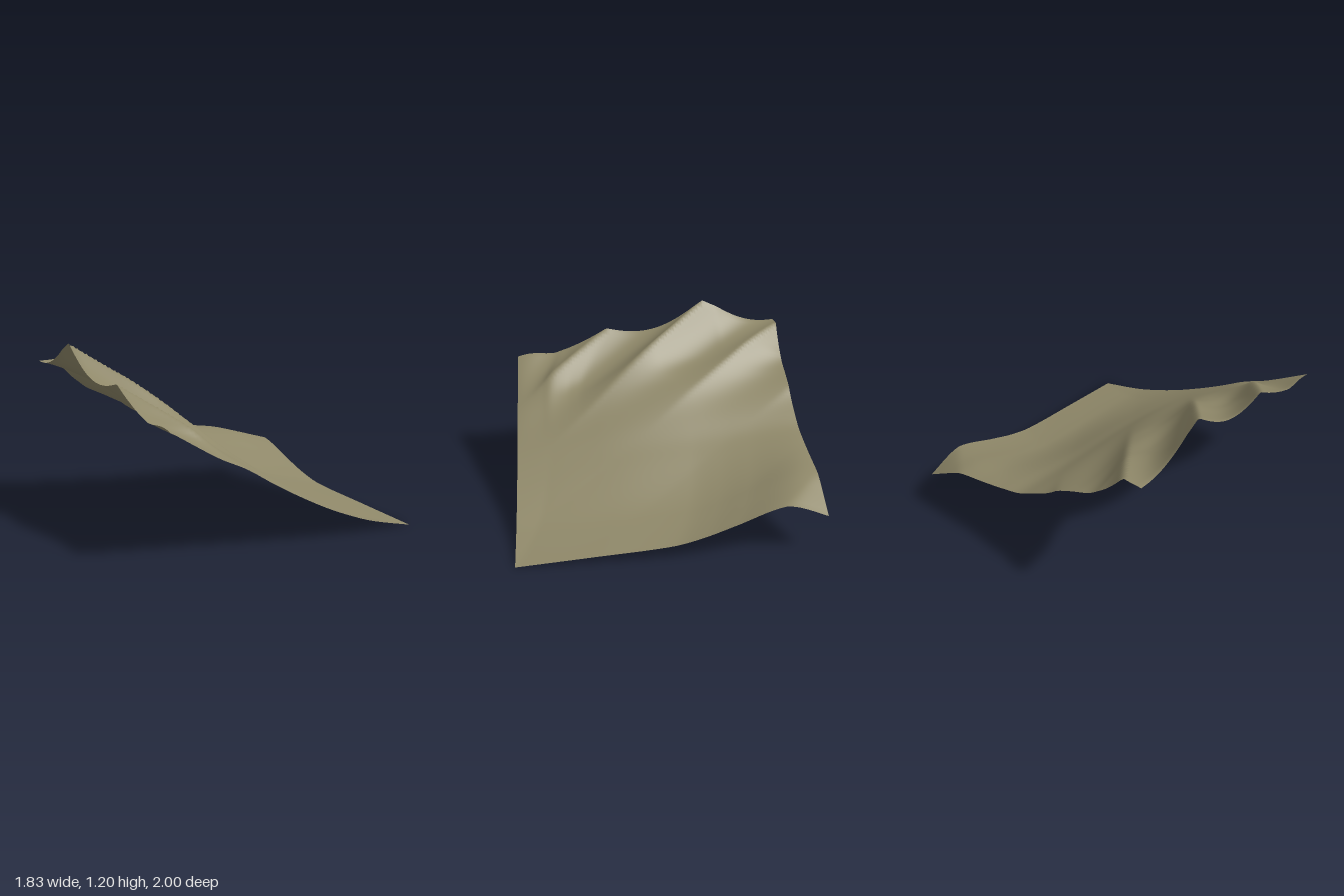
import * as THREE from 'three';

const { clamp, lerp, smoothstep } = THREE.MathUtils;

// smooth curve through [position, value] pairs
function profile(points) {
  const slope = (i) => {
    const a = points[Math.max(i - 1, 0)], b = points[Math.min(i + 1, points.length - 1)];
    return (b[1] - a[1]) / (b[0] - a[0]);
  };
  return (p) => {
    let i = 0;
    while (i < points.length - 2 && p > points[i + 1][0]) i++;
    const [x0, y0] = points[i], [x1, y1] = points[i + 1];
    const d = x1 - x0, t = clamp((p - x0) / d, 0, 1), u = 1 - t;
    return y0 * u * u * (1 + 2 * t) + y1 * t * t * (3 - 2 * t)
      + d * t * u * (slope(i) * u - slope(i + 1) * t);
  };
}

// minimum of a and b, rounded over a width k
function softMin(a, b, k) {
  const h = Math.max(k - Math.abs(a - b), 0);
  return Math.min(a, b) - h * h / (4 * k);
}

// falling lines from the high side to the low side: foot of the slope, and its crests
const lowLine = profile([[-0.91, 0.795], [-0.6, 0.62], [-0.4, 0.53], [-0.2, 0.415], [0, 0.31],
  [0.2, 0.215], [0.4, 0.135], [0.6, 0.07], [0.91, 0]]);
const crestLine = profile([[-0.91, 1.205], [-0.75, 1.07], [-0.61, 0.96], [-0.48, 0.86], [-0.26, 0.69],
  [-0.07, 0.575], [0.06, 0.51], [0.2, 0.475], [0.4, 0.435], [0.6, 0.405], [0.75, 0.37], [0.91, 0.335]]);
// how far the low side has risen towards the crest line, from back to front
const lowRise = profile([[-1, 1], [-0.72, 1], [-0.4, 0.64], [-0.2, 0.42], [0, 0.27], [0.5, 0.13], [1, 0]]);
// the same for the high side, with a shoulder carrying the front ridge
const shoulder = profile([[0, 0], [0.12, 0.14], [0.19, 0.25], [0.25, 0.37], [0.34, 0.445], [0.42, 0.48],
  [0.5, 0.52], [0.75, 0.76], [1, 1]]);
const gullyDepth = profile([[-0.91, 0.11], [-0.6, 0.1], [-0.42, 0.06], [-0.2, 0.015], [0, 0], [0.91, 0]]);

function height(x, z) {
  // main slope
  const ridgeZ = softMin(-0.43 + 1.44 * (x + 0.91), 0.05, 0.2);
  const raw = (1 - z) / (1 - ridgeZ);
  const even = clamp(softMin(raw, 1, 0.01 + 0.4 * smoothstep(x, -0.7, -0.1)), 0, 1);
  const highRise = lerp(shoulder(even), even, smoothstep(x, -0.6, -0.1));
  const shift = 0.28 * (1 - Math.exp(-2 * (0.91 - x)));
  const rise = lerp(highRise, lowRise(z + shift), smoothstep(x, -0.35, 0.6));
  let y = lerp(lowLine(x), crestLine(x), rise);
  // rounded gullies meeting in sharp diagonal ridges
  const across = (z - 1.44 * (x + 0.91) + 0.43) / 0.745;
  y -= gullyDepth(x) * Math.abs(Math.sin(Math.PI * across)) * smoothstep(1 - z, 0, 0.4);
  // back corners drop away
  y -= 0.09 * clamp((-0.55 - z) / 0.45, 0, 1) * clamp((-0.6 - x) / 0.31, 0, 1);
  const beyond = (x - 0.6) / 0.31 + (-0.72 - z) / 0.28 - 1;
  if (x > 0.6 && beyond > 0) y -= 0.08 * Math.pow(beyond, 1.3);
  return y;
}

export function createModel() {
  const group = new THREE.Group();
  group.name = 'terrain';

  const earth = new THREE.MeshStandardMaterial({ color: 0x8f8869, side: THREE.DoubleSide });
  earth.name = 'earth';

  // hillside sheet
  const geometry = new THREE.PlaneGeometry(1.83, 2, 90, 100).rotateX(-Math.PI / 2);
  const position = geometry.attributes.position;
  for (let i = 0; i < position.count; i++) {
    position.setY(i, height(position.getX(i), position.getZ(i)));
  }
  geometry.computeVertexNormals();

  const hillside = new THREE.Mesh(geometry, earth);
  hillside.name = 'hillside';
  group.add(hillside);
  return group;
}
